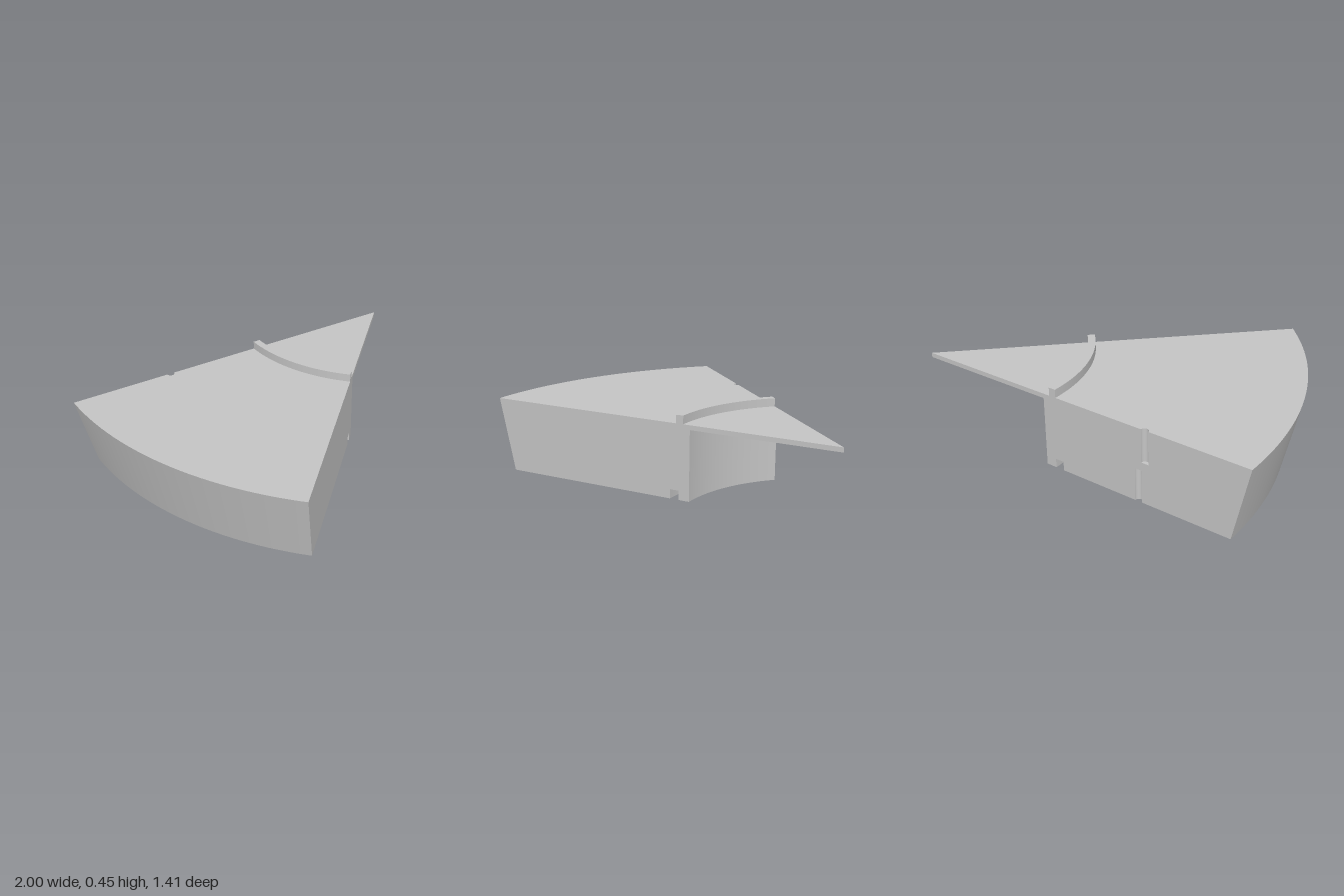
import * as THREE from 'three';

const ANGLE = Math.PI / 4;   // the wedge is one eighth of a round tray
const SEG = 48;
const APEX = new THREE.Vector3(1, 0, -0.707);
const NOTCH_R = 0.021;
const TOP = 0.405;
const TOP_NOTCH = 1.422, LOW_NOTCH = 1.384; // notch distances from the apex

export function createModel() {
  const model = new THREE.Group();
  model.name = 'traySegment';
  const grey = new THREE.MeshStandardMaterial({ color: 0xc4c4c4 });
  grey.name = 'plain grey';

  const add = (name, geometry, origin = APEX) => {
    const mesh = new THREE.Mesh(geometry, grey);
    mesh.name = name;
    mesh.position.copy(origin);
    model.add(mesh);
  };

  // Revolve each profile edge on its own so corners stay sharp
  const revolve = (name, points, origin = APEX, sweep = ANGLE, seg = SEG) => {
    for (let i = 0; i < points.length - 1; i++) {
      const edge = [points[i], points[i + 1]].map(p => new THREE.Vector2(p[0], p[1]));
      add(name, new THREE.LatheGeometry(edge, seg, -Math.PI / 2, sweep), origin);
    }
  };

  // Flat face from 2D points, laid along the world directions u and v
  const face = (name, points, u, v) => {
    const shape = new THREE.Shape(points.map(p => new THREE.Vector2(p[0], p[1])));
    const w = new THREE.Vector3().crossVectors(u, v);
    add(name, new THREE.ShapeGeometry(shape).applyMatrix4(new THREE.Matrix4().makeBasis(u, v, w)));
  };

  // Plan outline of a ring sector with a half-round bite in its straight back edge
  const sector = (rIn, rOut, notch) => {
    const pts = [];
    const arc = (cx, r, from, to, n) => {
      for (let i = 0; i <= n; i++) {
        const a = from + (to - from) * i / n;
        pts.push([cx + r * Math.cos(a), r * Math.sin(a)]);
      }
    };
    arc(notch, NOTCH_R, Math.PI, 0, 12);
    arc(0, rOut, 0, ANGLE, SEG);
    arc(0, rIn, ANGLE, 0, SEG);
    return pts;
  };

  // Cross-section pieces, as [radius, height]
  const underside = [[0, 0.38], [0.8, 0.38], [0.8, 0], [0.86, 0], [0.86, 0.05], [0.91, 0.05], [0.91, 0]];
  const outside = [[1.905, 0], [2, TOP]];
  const lip = [[0.878, TOP], [0.878, 0.45], [0.838, 0.45], [0.838, TOP], [0, TOP]];

  // Curved surfaces
  revolve('undersideAndGroove', underside);
  revolve('outerWall', outside);
  revolve('lipAndTip', lip);

  // Flat top and bottom
  const left = new THREE.Vector3(-1, 0, 0);
  const up = new THREE.Vector3(0, 1, 0);
  const front = new THREE.Vector3(0, 0, 1);
  const topPlan = sector(0.878, 2, TOP_NOTCH).map(([u, v]) => [u, v]);
  const topY = new THREE.Vector3(0, TOP, 0);
  face('topFace', topPlan, left, front);
  model.children[model.children.length - 1].position.add(topY);
  face('bottomFace', sector(0.91, 1.905, LOW_NOTCH).map(([u, v]) => [v, u]), front, left);

  // Straight cut faces
  const slot = (r, yEdge, yEnd, dir) => [
    [r - dir * NOTCH_R, yEdge], [r - dir * NOTCH_R, yEnd],
    [r + dir * NOTCH_R, yEnd], [r + dir * NOTCH_R, yEdge],
  ];
  face('backCut', [
    ...underside, ...slot(LOW_NOTCH, 0, 0.18, 1),
    ...outside, ...slot(TOP_NOTCH, TOP, 0.225, -1), ...lip,
  ], left, up);
  const inward = new THREE.Vector3(Math.cos(ANGLE), 0, -Math.sin(ANGLE));
  face('frontCut', [...underside, ...outside, ...lip].map(([r, y]) => [-r, y]), inward, up);

  // Half-round recesses in the back cut
  const at = r => new THREE.Vector3(APEX.x - r, 0, APEX.z);
  revolve('upperNotch', [[NOTCH_R, TOP], [NOTCH_R, 0.225], [0, 0.225]], at(TOP_NOTCH), Math.PI, 12);
  revolve('lowerNotch', [[0, 0.18], [NOTCH_R, 0.18], [NOTCH_R, 0]], at(LOW_NOTCH), Math.PI, 12);

  return model;
}
